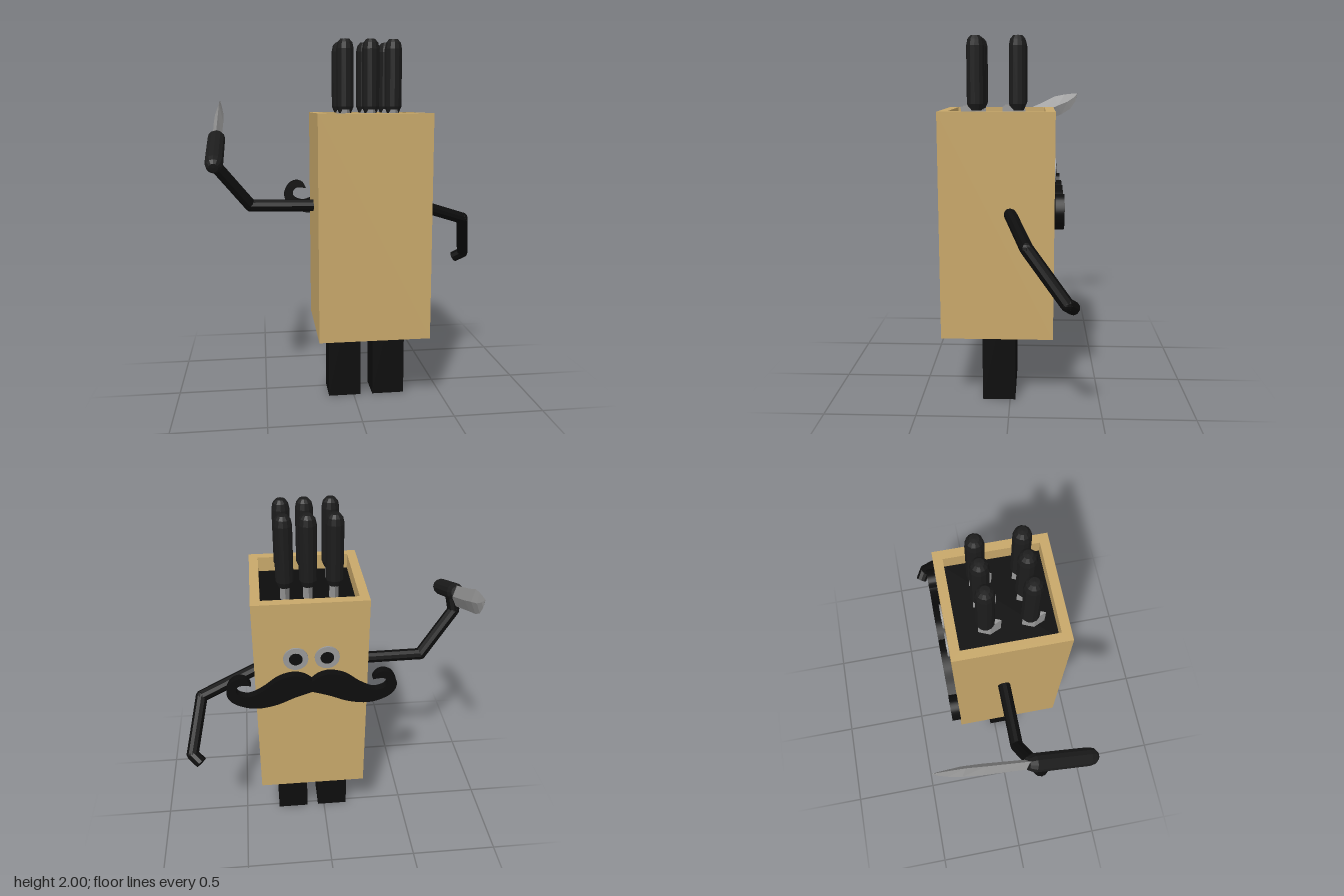
import * as THREE from 'three';

const mat = (color) => new THREE.MeshStandardMaterial({ color, flatShading: true });
const wood = mat(0xc8a86a), black = mat(0x0d0d0d), grip = mat(0x1c1c1c), steel = mat(0x999999);
const CX = 0.0875, CZ = 0.0675; // centre of the block

function add(parent, name, geometry, material, x = 0, y = 0, z = 0) {
  const mesh = new THREE.Mesh(geometry, material);
  mesh.name = name;
  mesh.position.set(x, y, z);
  parent.add(mesh);
  return mesh;
}

function square(shape, h) {
  shape.moveTo(-h, -h).lineTo(h, -h).lineTo(h, h).lineTo(-h, h).closePath();
  return shape;
}

// Blade with a diamond section; each station is [y, spine z, edge z, half thickness]
function bladeGeometry() {
  const stations = [
    [0.02, -0.035, 0.08, 0.024], [-0.23, -0.041, 0.077, 0.027], [-0.333, -0.049, 0.077, 0.024],
    [-0.4, -0.036, 0.065, 0.016], [-0.451, -0.022, 0.031, 0.008], [-0.48, -0.011, -0.009, 0.001],
  ];
  const pos = [], idx = [];
  for (const [y, s, e, t] of stations) {
    const m = (s + e) / 2;
    pos.push(0, y, s, t, y, m, 0, y, e, -t, y, m);
  }
  for (let i = 0; i < stations.length - 1; i++) {
    for (let j = 0; j < 4; j++) {
      const a = i * 4 + j, b = i * 4 + (j + 1) % 4;
      idx.push(a, b, a + 4, b, b + 4, a + 4);
    }
  }
  const n = (stations.length - 1) * 4;
  idx.push(0, 2, 1, 0, 3, 2, n, n + 1, n + 2, n, n + 2, n + 3);
  const g = new THREE.BufferGeometry();
  g.setAttribute('position', new THREE.Float32BufferAttribute(pos, 3));
  g.setIndex(idx);
  g.computeVertexNormals();
  return g;
}

// Knife with the handle along +y and the blade along -y
const bladeGeo = bladeGeometry();
const handleGeo = new THREE.LatheGeometry(
  [[0, 0], [0.032, 0], [0.047, 0.035], [0.047, 0.335], [0.04, 0.368], [0.024, 0.386], [0, 0.388]]
    .map(([r, y]) => new THREE.Vector2(r, y)), 12);
function knife(name) {
  const g = new THREE.Group();
  g.name = name;
  add(g, 'handle', handleGeo, grip);
  add(g, 'blade', bladeGeo, steel).material.side = THREE.DoubleSide;
  return g;
}

// Jointed arm through a list of points
function arm(name, points) {
  const g = new THREE.Group(), r = 0.034;
  g.name = name;
  const p = points.map((a) => new THREE.Vector3(...a));
  for (let i = 0; i < p.length - 1; i++) {
    const dir = p[i + 1].clone().sub(p[i]);
    const seg = add(g, 'armSegment', new THREE.CylinderGeometry(r, r, dir.length(), 10), black);
    seg.position.copy(p[i]).addScaledVector(dir, 0.5);
    seg.quaternion.setFromUnitVectors(new THREE.Vector3(0, 1, 0), dir.normalize());
    if (i > 0) add(g, 'joint', new THREE.SphereGeometry(r, 10, 8), black, ...points[i]);
  }
  return g;
}

// One half of the moustache, mirrored by the sign s
function moustacheHalf(s) {
  const upper = [[0, 1.165], [0.04, 1.195], [0.1, 1.208], [0.18, 1.185], [0.26, 1.125], [0.33, 1.09],
    [0.385, 1.1], [0.405, 1.13], [0.39, 1.16], [0.36, 1.165], [0.325, 1.16]];
  const lower = [[0.325, 1.16], [0.345, 1.195], [0.385, 1.208], [0.43, 1.185], [0.456, 1.125], [0.435, 1.065],
    [0.37, 1.025], [0.29, 1.01], [0.19, 1.028], [0.09, 1.07], [0, 1.1]];
  const v = (list) => list.map(([x, y]) => new THREE.Vector2(s * x, y));
  const shape = new THREE.Shape();
  shape.moveTo(0, 1.165);
  shape.splineThru(v(upper).slice(1));
  shape.splineThru(v(lower).slice(1));
  return new THREE.ExtrudeGeometry(shape, { depth: 0.046, bevelEnabled: false, curveSegments: 40 });
}

export function createModel() {
  const model = new THREE.Group();
  model.name = 'knifeBlockFigure';

  // Hollow wooden block with a recessed insert
  const wall = square(new THREE.Shape(), 0.3025);
  wall.holes.push(square(new THREE.Path(), 0.2525));
  const blockGeo = new THREE.ExtrudeGeometry(wall, { depth: 1.215, bevelEnabled: false });
  add(model, 'block', blockGeo.rotateX(-Math.PI / 2), wood, CX, 0.398, CZ);
  add(model, 'slotInsert', new THREE.BoxGeometry(0.505, 0.04, 0.505), black, CX, 1.51, CZ);
  add(model, 'innerFloor', new THREE.BoxGeometry(0.505, 0.04, 0.505), wood, CX, 0.87, CZ);

  // Legs
  for (const x of [-0.052, 0.2]) {
    add(model, 'leg', new THREE.BoxGeometry(0.183, 0.86, 0.183), black, x, 0.43, 0.062);
  }

  // Two rows of stored knives
  for (const z of [-0.038, 0.185]) {
    for (const x of [-0.053, 0.085, 0.207]) {
      const k = knife('storedKnife');
      k.position.set(x, 1.612, z);
      model.add(k);
    }
  }

  // Arms and the raised knife
  model.add(arm('leftArm', [[0.35, 1.095, 0.005], [0.695, 0.98, -0.095], [0.762, 0.725, -0.29], [0.715, 0.69, -0.325]]));
  model.add(arm('rightArm', [[-0.19, 1.095, 0.033], [-0.565, 1.1, 0.033], [-0.755, 1.34, 0.105], [-0.74, 1.42, 0.125]]));
  const held = knife('heldKnife');
  held.position.set(-0.74, 1.49, 0.035);
  held.rotation.x = THREE.MathUtils.degToRad(112);
  model.add(held);

  // Face on the back wall of the block
  for (const s of [-1, 1]) {
    const x = CX + s * 0.083;
    add(model, 'eye', new THREE.CylinderGeometry(0.066, 0.066, 0.012, 32).rotateX(Math.PI / 2), steel, x, 1.29, -0.239);
    add(model, 'pupil', new THREE.CylinderGeometry(0.036, 0.036, 0.012, 24).rotateX(Math.PI / 2), black, x, 1.29, -0.241);
    add(model, 'moustache', moustacheHalf(s), black, CX, 0, -0.281);
  }
  return model;
}
